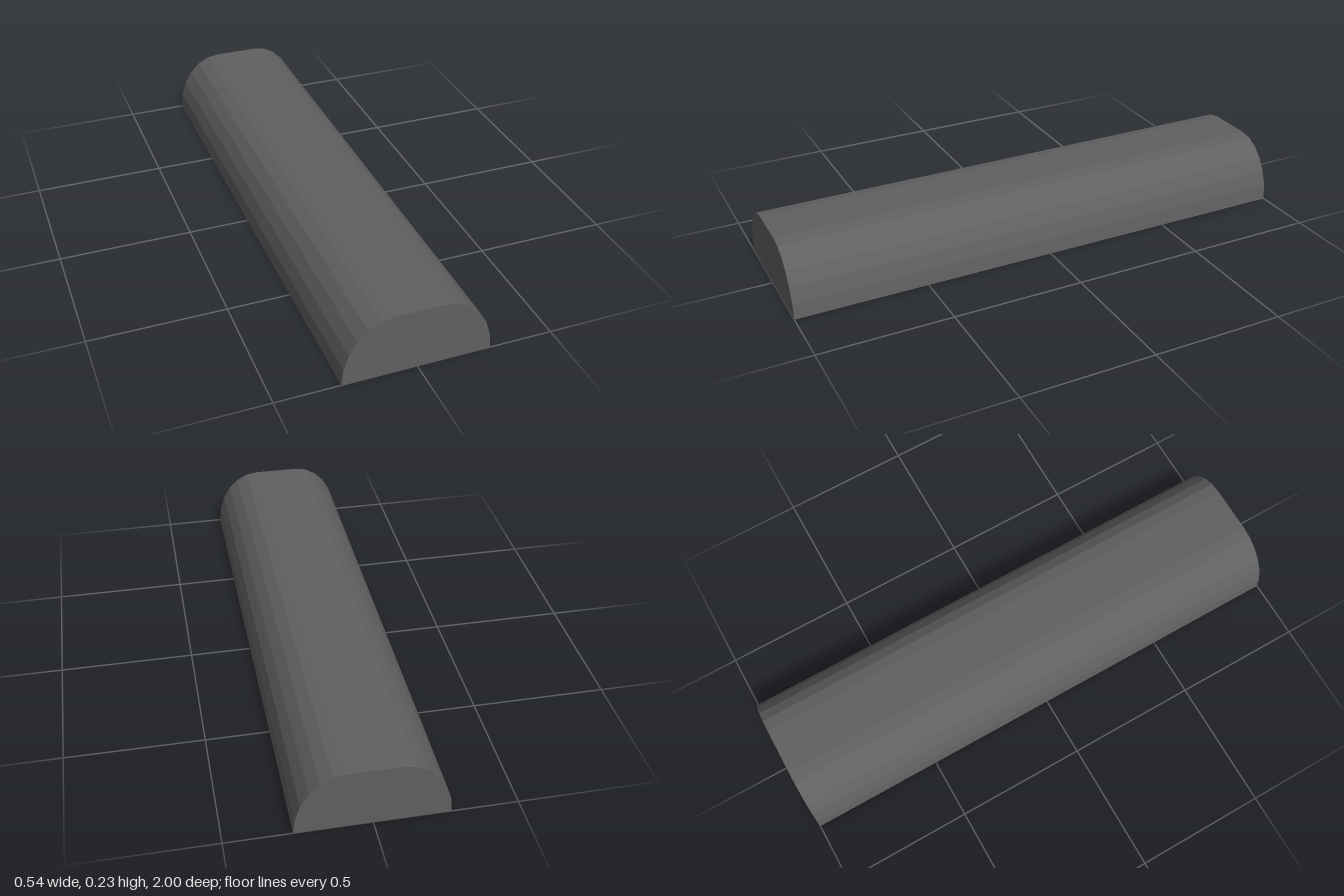
import * as THREE from 'three';

const HALF_LENGTH = 1, WALL = 0.045, CEILING = 0.13;

// Flat-topped arch: two quarter ellipses joined by a level top
function archPoints(flat, rx, ry) {
  const points = [];
  for (let i = 0; i <= 6; i++) {
    const a = (i / 6) * Math.PI / 2;
    points.push(new THREE.Vector2(flat + rx * Math.cos(a), ry * Math.sin(a)));
  }
  return points.concat(points.slice().reverse().map(p => new THREE.Vector2(-p.x, p.y)));
}

function extrudeAlongZ(points, zStart, zEnd) {
  const geometry = new THREE.ExtrudeGeometry(new THREE.Shape(points), { depth: zEnd - zStart, bevelEnabled: false });
  return geometry.translate(0, 0, zStart);
}

export function createModel() {
  const model = new THREE.Group();
  model.name = 'lampHood';
  const housingGrey = new THREE.MeshStandardMaterial({ name: 'housingGrey', color: 0x606060, flatShading: true });
  const tubeWhite = new THREE.MeshStandardMaterial({ name: 'tubeWhite', color: 0xcccccc });

  const add = (name, geometry, material) => {
    const mesh = new THREE.Mesh(geometry, material);
    mesh.name = name;
    model.add(mesh);
    return mesh;
  };

  // Hollow hood with a low ceiling, open underneath
  const outer = archPoints(0.09, 0.178, 0.232);
  const inner = archPoints(0.09, 0.178 - WALL, CEILING);
  const zInner = HALF_LENGTH - WALL;
  add('hoodShell', extrudeAlongZ([...outer, ...inner.slice().reverse()], -zInner, zInner), housingGrey);

  // Solid end walls
  add('frontEndWall', extrudeAlongZ(outer, zInner, HALF_LENGTH), housingGrey);
  add('backEndWall', extrudeAlongZ(outer, -HALF_LENGTH, -zInner), housingGrey);

  // Three lamp tubes just under the ceiling
  const tubeGeometry = new THREE.CylinderGeometry(0.03, 0.03, 1.67, 16).rotateX(Math.PI / 2);
  ['rightTube', 'middleTube', 'leftTube'].forEach((name, i) => {
    add(name, tubeGeometry, tubeWhite).position.set((i - 1) * 0.08, 0.098, 0);
  });

  return model;
}
